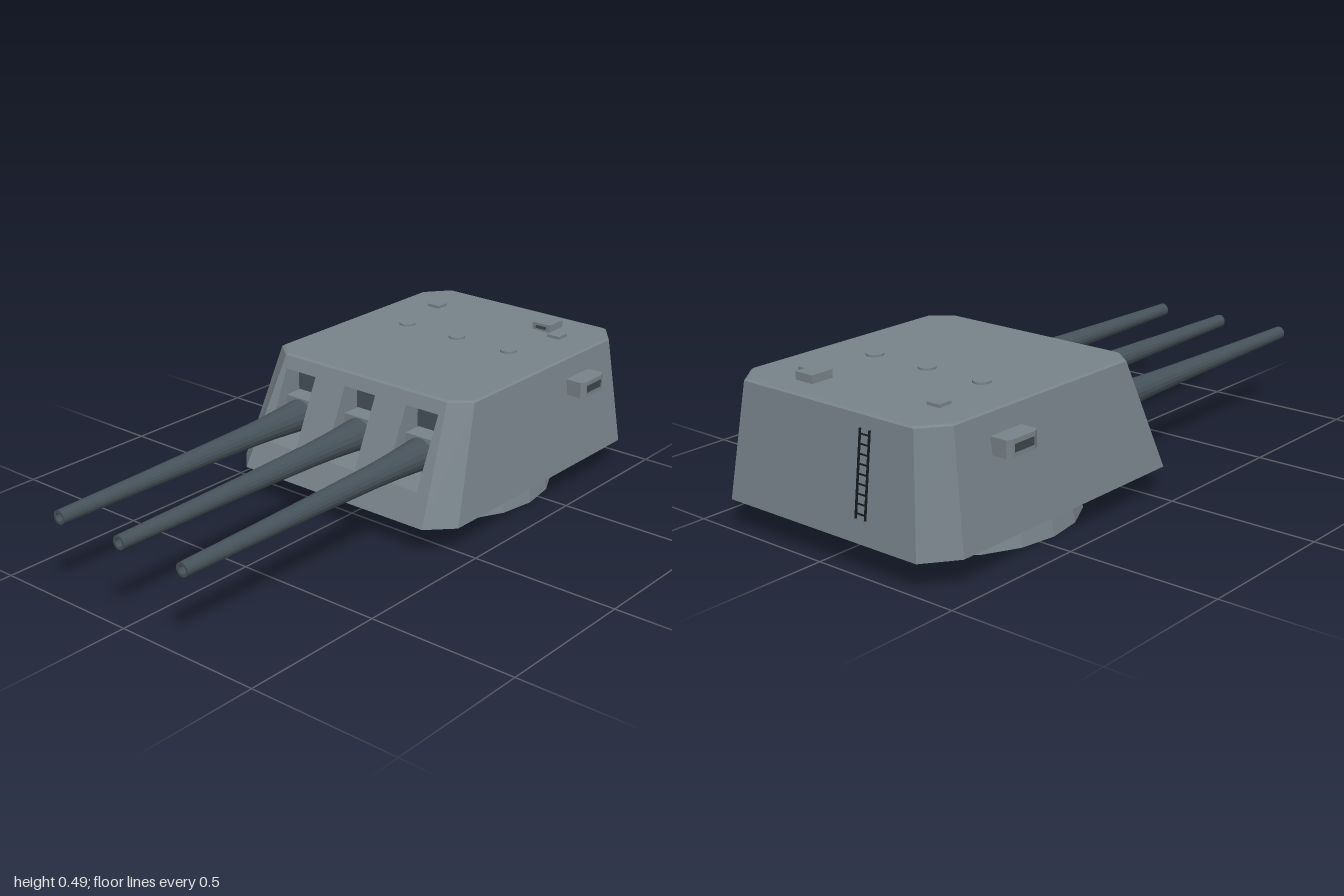
import * as THREE from 'three';

const hullGrey = new THREE.MeshStandardMaterial({ color: 0x78838a });
const gunGrey = new THREE.MeshStandardMaterial({ color: 0x46525a });
const slitGrey = new THREE.MeshStandardMaterial({ color: 0x3c464b });
const ladderBlack = new THREE.MeshStandardMaterial({ color: 0x17191b });

const GUN_X = [-0.251, 0, 0.251], GUN_Y = 0.271;
const Y0 = 0.094, Y1 = 0.455, Y2 = 0.46;
const FRONT0 = 0.105, FRONT1 = -0.056;
const frontZ = (y) => FRONT0 + ((FRONT1 - FRONT0) * (y - Y0)) / (Y1 - Y0);

function flat(geo) {
  const g = geo.index ? geo.toNonIndexed() : geo;
  g.computeVertexNormals();
  return g;
}

function add(parent, name, geo, mat, x = 0, y = 0, z = 0) {
  const m = new THREE.Mesh(geo, mat);
  m.name = name;
  m.position.set(x, y, z);
  parent.add(m);
  return m;
}

const box = (w, h, d) => new THREE.BoxGeometry(w, h, d);

// Collects polygons (corners counter-clockwise from outside) into one flat geometry
function polygons(faces) {
  const pos = [];
  for (const f of faces)
    for (let i = 1; i < f.length - 1; i++) pos.push(...f[0], ...f[i], ...f[i + 1]);
  const g = new THREE.BufferGeometry();
  g.setAttribute('position', new THREE.Float32BufferAttribute(pos, 3));
  return flat(g);
}

// Octagonal outline with clipped corners
function outline(y, fx, sx, zf, zsf, zsb, zb) {
  const half = [[fx, zf], [sx, zsf], [sx, zsb], [fx, zb]];
  const other = half.map(([x, z]) => [-x, z]).reverse();
  return [...half, ...other].map(([x, z]) => [x, y, z]);
}

function buildHull(group) {
  const rings = [
    outline(Y0, 0.37, 0.448, FRONT0, 0.024, -0.893, -0.996),
    outline(Y1, 0.333, 0.399, FRONT1, -0.11, -0.87, -0.955),
    outline(Y2, 0.328, 0.393, -0.066, -0.116, -0.866, -0.948),
  ];
  const faces = [[...rings[0]].reverse(), rings[2]];
  for (let r = 0; r < 2; r++)
    for (let i = 0; i < 8; i++) {
      if (r === 0 && i === 7) continue; // the front plate has gun ports
      const j = (i + 1) % 8;
      faces.push([rings[r][i], rings[r][j], rings[r + 1][j], rings[r + 1][i]]);
    }
  add(group, 'turretHull', polygons(faces), hullGrey);

  // Sloping front plate with three gun ports
  const hw = 0.063, lo = 0.19, hi = 0.416, back = -0.13;
  const plate = new THREE.Shape([[-0.37, Y0], [0.37, Y0], [0.333, Y1], [-0.333, Y1]]
    .map((p) => new THREE.Vector2(...p)));
  for (const x of GUN_X)
    plate.holes.push(new THREE.Path([[x - hw, lo], [x - hw, hi], [x + hw, hi], [x + hw, lo]]
      .map((p) => new THREE.Vector2(...p))));
  const geo = new THREE.ShapeGeometry(plate);
  const p = geo.attributes.position;
  for (let i = 0; i < p.count; i++) p.setZ(i, frontZ(p.getY(i)));
  add(group, 'frontPlate', flat(geo), hullGrey);

  // Port recess walls, facing inward
  const f = [[-hw, lo], [hw, lo], [hw, hi], [-hw, hi]].map(([x, y]) => [x, y, frontZ(y)]);
  const b = f.map(([x, y]) => [x, y, back]);
  const walls = [b];
  for (let i = 0; i < 4; i++) {
    const j = (i + 1) % 4;
    walls.push([f[i], f[j], b[j], b[i]]);
  }
  const recess = polygons(walls);
  for (const x of GUN_X) add(group, 'gunPortRecess', recess, hullGrey, x);
}

function buildGun(x) {
  const gun = new THREE.Group();
  gun.name = 'gun';
  gun.position.set(x, GUN_Y, 0);
  add(gun, 'portShield', box(0.124, 0.196, 0.03), gunGrey, 0, 0.0185, -0.112);
  add(gun, 'mantlet', box(0.114, 0.118, 0.07), hullGrey, 0, -0.002, -0.065);
  // Barrel flares at the breech and ends in a hollow muzzle
  const profile = [[0.054, -0.04], [0.05, 0.01], [0.043, 0.1], [0.038, 0.2], [0.033, 0.4],
    [0.027, 0.7], [0.0225, 1], [0.014, 1], [0.014, 0.95], [0, 0.95]]
    .map((q) => new THREE.Vector2(...q));
  const barrel = new THREE.LatheGeometry(profile, 18);
  barrel.rotateX(Math.PI / 2);
  add(gun, 'barrel', flat(barrel), gunGrey);
  return gun;
}

function buildRangefinder(side) {
  const ear = new THREE.Group();
  ear.name = 'rangefinder';
  ear.position.set(0, 0.365, -0.67);
  // Plan view with clipped outer corners
  const s = new THREE.Shape([[0.38, -0.065], [0.464, -0.065], [0.473, -0.045],
    [0.473, 0.045], [0.464, 0.065], [0.38, 0.065]].map((q) => new THREE.Vector2(...q)));
  const g = new THREE.ExtrudeGeometry(s, { depth: 0.053, bevelEnabled: false });
  g.rotateX(-Math.PI / 2).translate(0, -0.0265, 0);
  add(ear, 'rangefinderHood', g, hullGrey);
  add(ear, 'rangefinderWindow', box(0.004, 0.024, 0.08), slitGrey, 0.473);
  if (side < 0) ear.rotation.y = Math.PI;
  return ear;
}

function buildLadder() {
  const ladder = new THREE.Group();
  ladder.name = 'ladder';
  ladder.position.set(-0.164, 0.294, -0.981);
  ladder.rotation.x = 0.113;
  for (const s of [-1, 1]) add(ladder, 'ladderRail', box(0.005, 0.254, 0.005), ladderBlack, s * 0.018);
  for (let i = 0; i < 9; i++)
    add(ladder, 'ladderRung', box(0.036, 0.004, 0.004), ladderBlack, 0, -0.112 + i * 0.028);
  return ladder;
}

export function createModel() {
  const turret = new THREE.Group();
  turret.name = 'gunTurret';

  // Rotating base
  add(turret, 'base', flat(new THREE.CylinderGeometry(0.378, 0.395, Y0, 20)), hullGrey, 0, Y0 / 2, -0.444);

  buildHull(turret);
  for (const x of GUN_X) turret.add(buildGun(x));
  for (const side of [-1, 1]) turret.add(buildRangefinder(side));

  // Roof fittings
  const hatch = flat(new THREE.CylinderGeometry(0.028, 0.028, 0.014, 16));
  for (const x of [-0.213, 0, 0.213]) add(turret, 'roofHatch', hatch, hullGrey, x, 0.46, -0.547);
  for (const x of [-0.255, 0.255]) add(turret, 'roofVent', box(0.048, 0.02, 0.048), hullGrey, x, 0.46, -0.772);
  add(turret, 'periscope', box(0.068, 0.035, 0.08), hullGrey, 0.179, 0.468, -0.826);
  add(turret, 'periscopeSlit', box(0.04, 0.01, 0.004), slitGrey, 0.179, 0.472, -0.786);

  turret.add(buildLadder());
  return turret;
}
